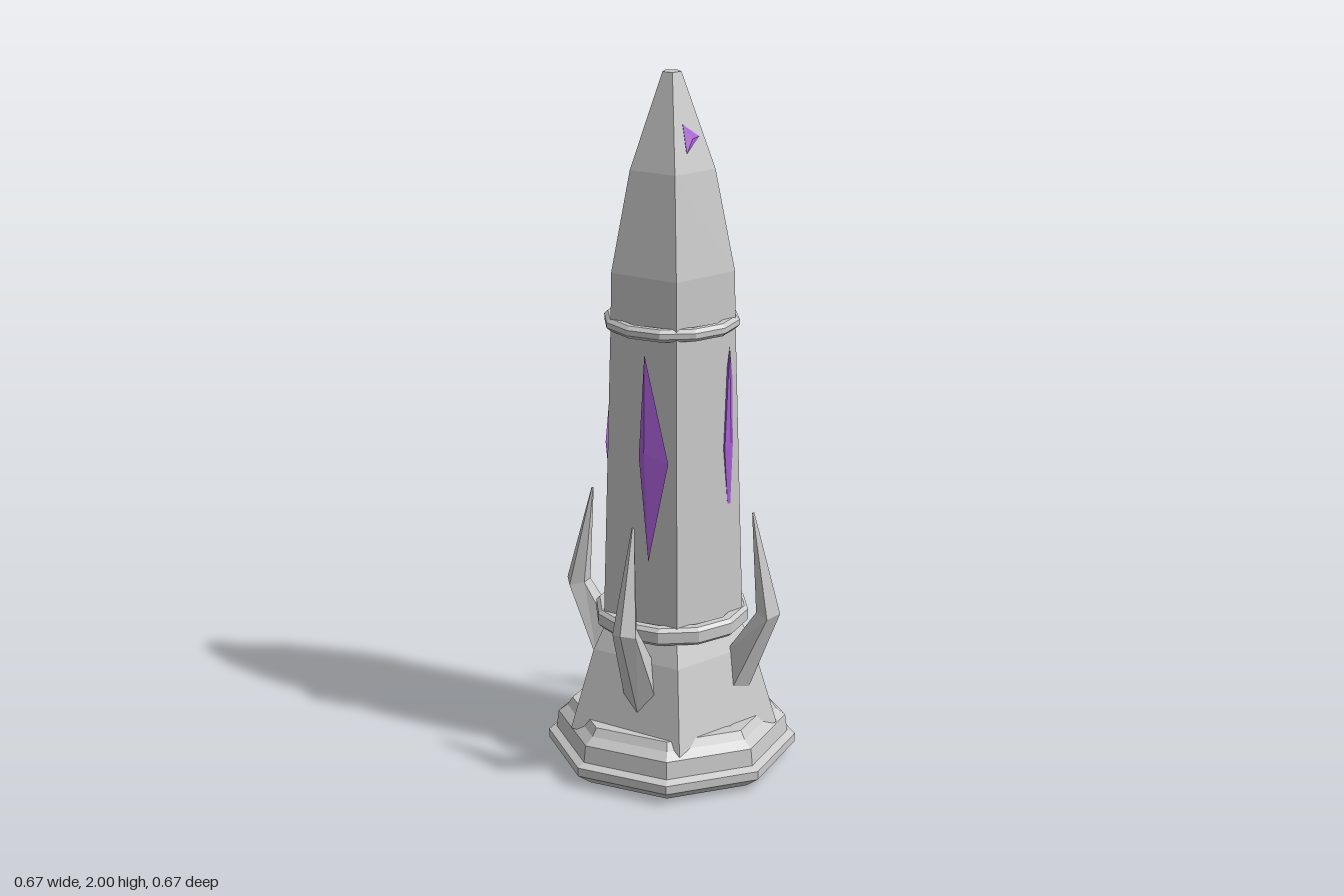
import * as THREE from 'three';

const RAD = Math.PI / 180;

export function createModel() {
  const model = new THREE.Group();
  const stone = new THREE.MeshStandardMaterial({ color: 0xcacaca });
  stone.name = 'stone';
  const violet = new THREE.MeshStandardMaterial({ color: 0xa95fd6 });
  violet.name = 'violet crystal';

  // Faceted mesh helper
  function add(name, geometry, material, parent = model) {
    const flat = geometry.index ? geometry.toNonIndexed() : geometry;
    flat.computeVertexNormals();
    const mesh = new THREE.Mesh(flat, material);
    mesh.name = name;
    parent.add(mesh);
    return mesh;
  }

  // Many-sided turned solid from [radius, height] points
  function turned(name, profile, sides, startDeg, scale = 1) {
    const points = profile.map(([r, y]) => new THREE.Vector2(r * scale, y));
    add(name, new THREE.LatheGeometry(points, sides, startDeg * RAD), stone);
  }

  function fromTriangles(triangles) {
    const geometry = new THREE.BufferGeometry();
    geometry.setAttribute('position', new THREE.Float32BufferAttribute(triangles.flat(2), 3));
    return geometry;
  }

  // Crystal: counterclockwise rim with an outer and an inner point
  function crystal(rim, outer, inner) {
    const triangles = [];
    rim.forEach((p, i) => {
      const q = rim[(i + 1) % rim.length];
      triangles.push([p, q, outer], [q, p, inner]);
    });
    return fromTriangles(triangles);
  }

  // Octagonal plinth; radii are to the flats
  turned('plinth', [
    [0, 0], [0.29, 0], [0.315, 0.02], [0.333, 0.035], [0.333, 0.06], [0.312, 0.07],
    [0.306, 0.12], [0.282, 0.14], [0.268, 0.163], [0.23, 0.163], [0.2, 0.145], [0, 0.145],
  ], 8, 22.5, 1 / Math.cos(22.5 * RAD));

  // Five-sided skirt, shaft and spire
  turned('skirt', [[0, 0.125], [0.312, 0.125], [0.24, 0.36], [0.205, 0.43], [0, 0.43]], 5, 101);
  turned('shaft', [[0, 0.42], [0.209, 0.42], [0.181, 1.31], [0, 1.31]], 5, 101);
  turned('spire', [[0, 1.3], [0.181, 1.3], [0.178, 1.46], [0.122, 1.74], [0.027, 2], [0, 2]], 5, 101);

  // Twelve-sided bands
  function band(name, inner, outer, bottom, top) {
    const b = 0.01;
    turned(name, [
      [inner, bottom], [outer - b, bottom], [outer, bottom + b], [outer, top - b],
      [outer - b, top], [inner, top], [inner, bottom],
    ], 12, 15, 1 / Math.cos(15 * RAD));
  }
  band('lowerBand', 0.182, 0.214, 0.42, 0.472);
  band('upperBand', 0.158, 0.184, 1.295, 1.33);

  // Claw lofted from a root section to an elbow, then to a point
  function clawGeometry() {
    const section = (ridge, side, inner) => [
      [0, ridge[1], ridge[0]],
      [side[2], side[1], side[0]],
      [inner[2], inner[1], inner[0]],
      [-inner[2], inner[1], inner[0]],
      [-side[2], side[1], side[0]],
    ];
    const loops = [
      section([0.225, 0.2], [0.215, 0.26], [0.185, 0.36, 0.028].slice(0, 3)).map((p, i) =>
        (i === 1 ? [0.05, p[1], p[2]] : i === 4 ? [-0.05, p[1], p[2]] : p)),
      section([0.337, 0.49], [0.312, 0.48, 0.036], [0.272, 0.49, 0.02]),
      section([0.255, 0.78], [0.252, 0.78, 0.004], [0.249, 0.78, 0.002]),
    ];
    const triangles = [];
    for (let k = 0; k < 2; k++) {
      for (let i = 0; i < 5; i++) {
        const j = (i + 1) % 5;
        const [a, b] = [loops[k], loops[k + 1]];
        triangles.push([a[i], a[j], b[j]], [a[i], b[j], b[i]]);
      }
    }
    const [root, , tip] = loops;
    for (let i = 1; i < 4; i++) {
      triangles.push([root[0], root[i + 1], root[i]], [tip[0], tip[i], tip[i + 1]]);
    }
    return fromTriangles(triangles);
  }

  // Four quarters, each with a claw and a long crystal
  for (let k = 0; k < 4; k++) {
    const quarter = new THREE.Group();
    quarter.name = 'quarter' + (k + 1);
    quarter.rotation.y = k * Math.PI / 2;
    add('claw', clawGeometry(), stone, quarter);
    add('shaftCrystal', crystal(
      [[0.07, 0.95, 0.173], [0, 1.255, 0.176], [-0.02, 0.96, 0.172], [0.01, 0.655, 0.176]],
      [0, 0.975, 0.182], [0.02, 0.95, 0.13],
    ), violet, quarter);
    model.add(quarter);
  }

  // Small crystal showing on two faces of the spire
  add('spireCrystal', crystal(
    [[0.082, 1.83, 0], [0.052, 1.866, 0.042], [0.071, 1.79, 0.056]],
    [0.077, 1.828, 0.033], [0.04, 1.83, 0.02],
  ), violet);
  add('spireCrystalTip', crystal(
    [[0.037, 1.835, -0.07], [0.058, 1.842, -0.05], [0.058, 1.828, -0.05]],
    [0.052, 1.835, -0.06], [0.03, 1.835, -0.04],
  ), violet);

  return model;
}
